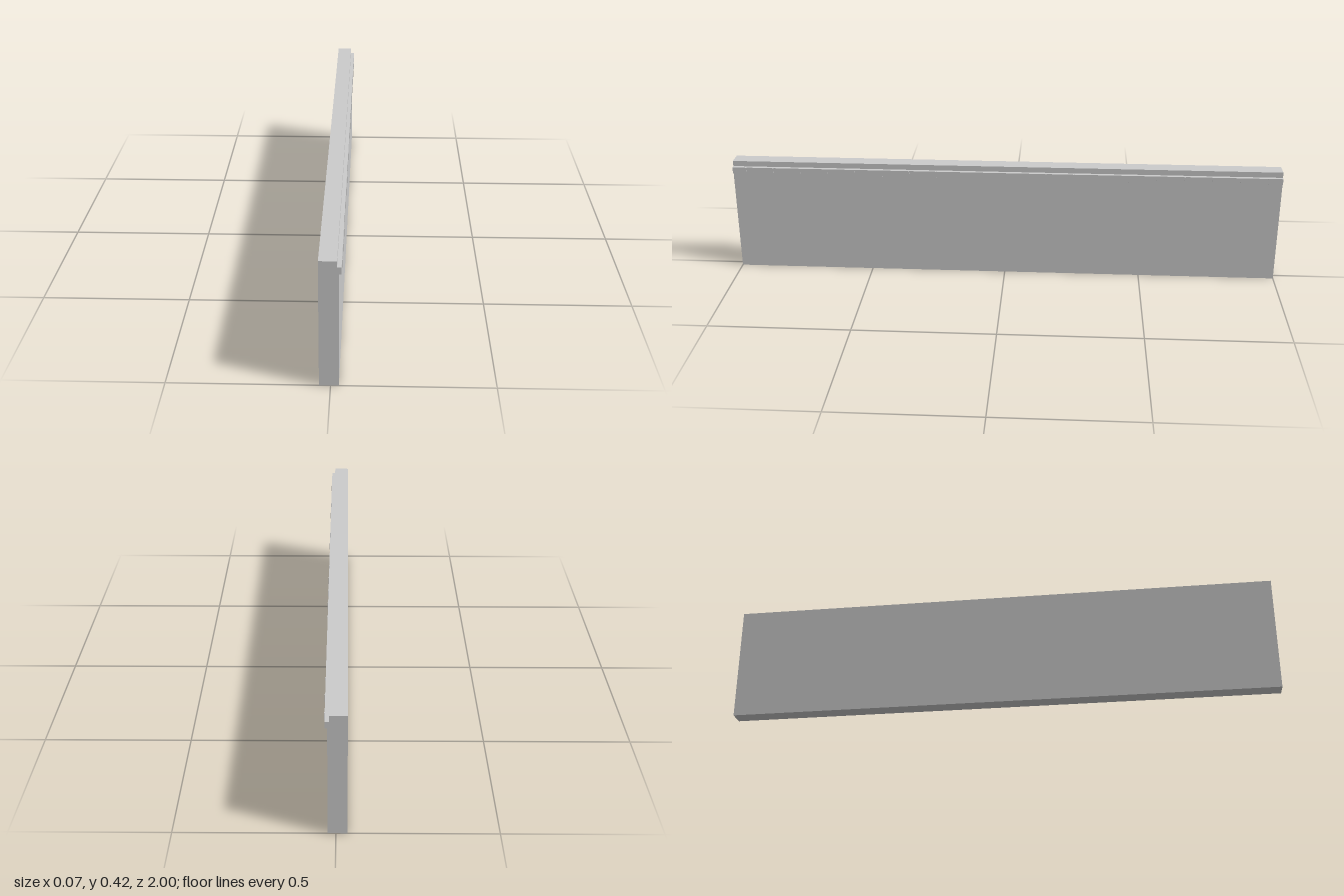
import * as THREE from 'three';

const LENGTH = 2;
const material = new THREE.MeshStandardMaterial({ color: 0xcccccc, flatShading: true });

// Extrude an x/y outline along the whole length, centred on z
function extrudeAlong(name, points) {
  const shape = new THREE.Shape(points.map(([x, y]) => new THREE.Vector2(x, y)));
  const geometry = new THREE.ExtrudeGeometry(shape, { depth: LENGTH, bevelEnabled: false });
  geometry.translate(0, 0, -LENGTH / 2);
  const mesh = new THREE.Mesh(geometry, material);
  mesh.name = name;
  return mesh;
}

export function createModel() {
  const model = new THREE.Group();
  model.name = 'wallPanel';

  // Slab with a shallow rebate along its top edge
  model.add(extrudeAlong('wallSlab', [
    [-0.035, 0], [0.025, 0], [0.025, 0.402], [0.02, 0.402], [0.02, 0.422], [-0.035, 0.422],
  ]));

  // Projecting rail below the rebate
  model.add(extrudeAlong('rail', [
    [0.025, 0.38], [0.033, 0.38], [0.033, 0.402], [0.025, 0.402],
  ]));

  // Small clips spaced evenly along the face of the rail
  const clips = new THREE.Group();
  clips.name = 'railClips';
  const clipGeometry = new THREE.BoxGeometry(0.003, 0.025, 0.005);
  for (let i = 0; i < 20; i++) {
    const clip = new THREE.Mesh(clipGeometry, material);
    clip.name = 'railClip';
    clip.position.set(0.033, 0.3895, -0.95 + i * 0.1);
    clips.add(clip);
  }
  model.add(clips);

  return model;
}
